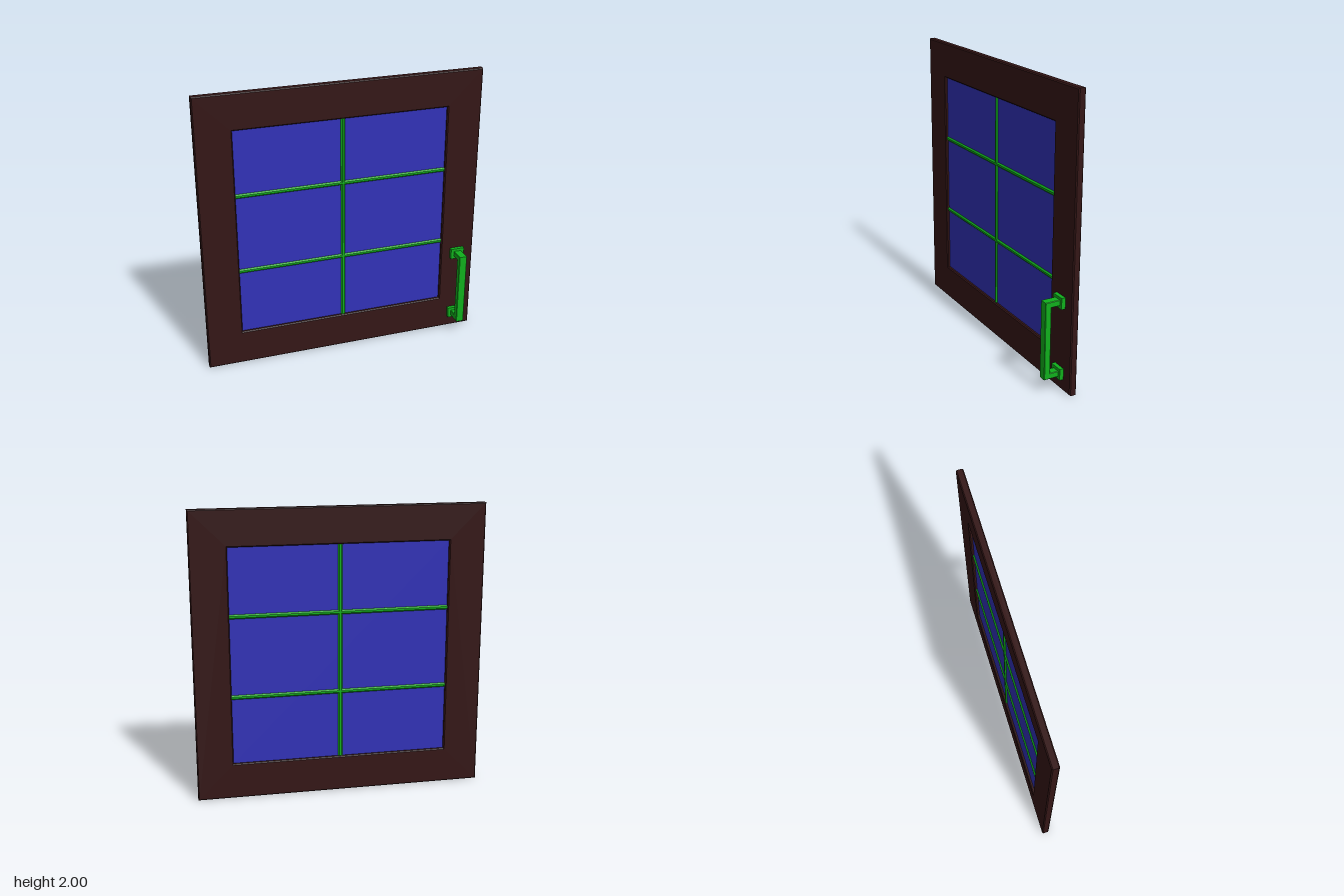
import * as THREE from 'three';

const material = (color) => new THREE.MeshStandardMaterial({ color, flatShading: true });

function rectangle(Type, x0, y0, x1, y1) {
  const r = new Type();
  r.moveTo(x0, y0);
  r.lineTo(x1, y0);
  r.lineTo(x1, y1);
  r.lineTo(x0, y1);
  r.closePath();
  return r;
}

// Extrusion with a small chamfer that keeps the outline and total depth, centred on z
function chamfered(shape, depth, c) {
  const g = new THREE.ExtrudeGeometry(shape, {
    depth: depth - 2 * c, bevelEnabled: true, bevelSize: c, bevelThickness: c,
    bevelOffset: -c, bevelSegments: 1,
  });
  return g.translate(0, 0, c - depth / 2);
}

export function createModel() {
  const group = new THREE.Group();
  const wood = material(0x341616);
  const blue = material(0x3232b8);
  const green = material(0x10b01c);
  const midZ = -0.065;

  function add(parent, name, geometry, mat, x, y, z) {
    const mesh = new THREE.Mesh(geometry, mat);
    mesh.name = name;
    mesh.position.set(x, y, z);
    parent.add(mesh);
    return mesh;
  }

  // Square frame with a window opening
  const outline = rectangle(THREE.Shape, -1, 0, 1, 2);
  outline.holes.push(rectangle(THREE.Path, -0.75, 0.25, 0.75, 1.75));
  add(group, 'frame', chamfered(outline, 0.05, 0.007), wood, 0, 0, midZ);

  // Glass pane
  add(group, 'glass', new THREE.BoxGeometry(1.5, 1.5, 0.01), blue, 0, 1, midZ);

  // Octagonal glazing bars, a flat facing front and back
  const bar = new THREE.CylinderGeometry(0.0165, 0.0165, 1.5, 8).rotateY(Math.PI / 8);
  add(group, 'verticalBar', bar, green, 0, 1, midZ);
  for (const y of [0.725, 1.285]) {
    add(group, 'horizontalBar', bar, green, 0, y, midZ).rotation.z = Math.PI / 2;
  }

  // Pull handle: a C-shaped grip on two mounting plates
  const handle = new THREE.Group();
  handle.name = 'handle';
  group.add(handle);
  const grip = new THREE.Shape([
    [-0.03, 0.1], [0.09, 0.1], [0.09, 0.64], [-0.03, 0.64],
    [-0.03, 0.6], [0.047, 0.6], [0.047, 0.14], [-0.03, 0.14],
  ].map(([z, y]) => new THREE.Vector2(z, y)));
  const gripGeometry = chamfered(grip, 0.057, 0.003).rotateY(-Math.PI / 2);
  add(handle, 'grip', gripGeometry, green, 0.87, 0, 0);
  for (const y of [0.122, 0.62]) {
    add(handle, 'mountingPlate', new THREE.BoxGeometry(0.1, 0.078, 0.032), green, 0.87, y, -0.029);
  }

  return group;
}
